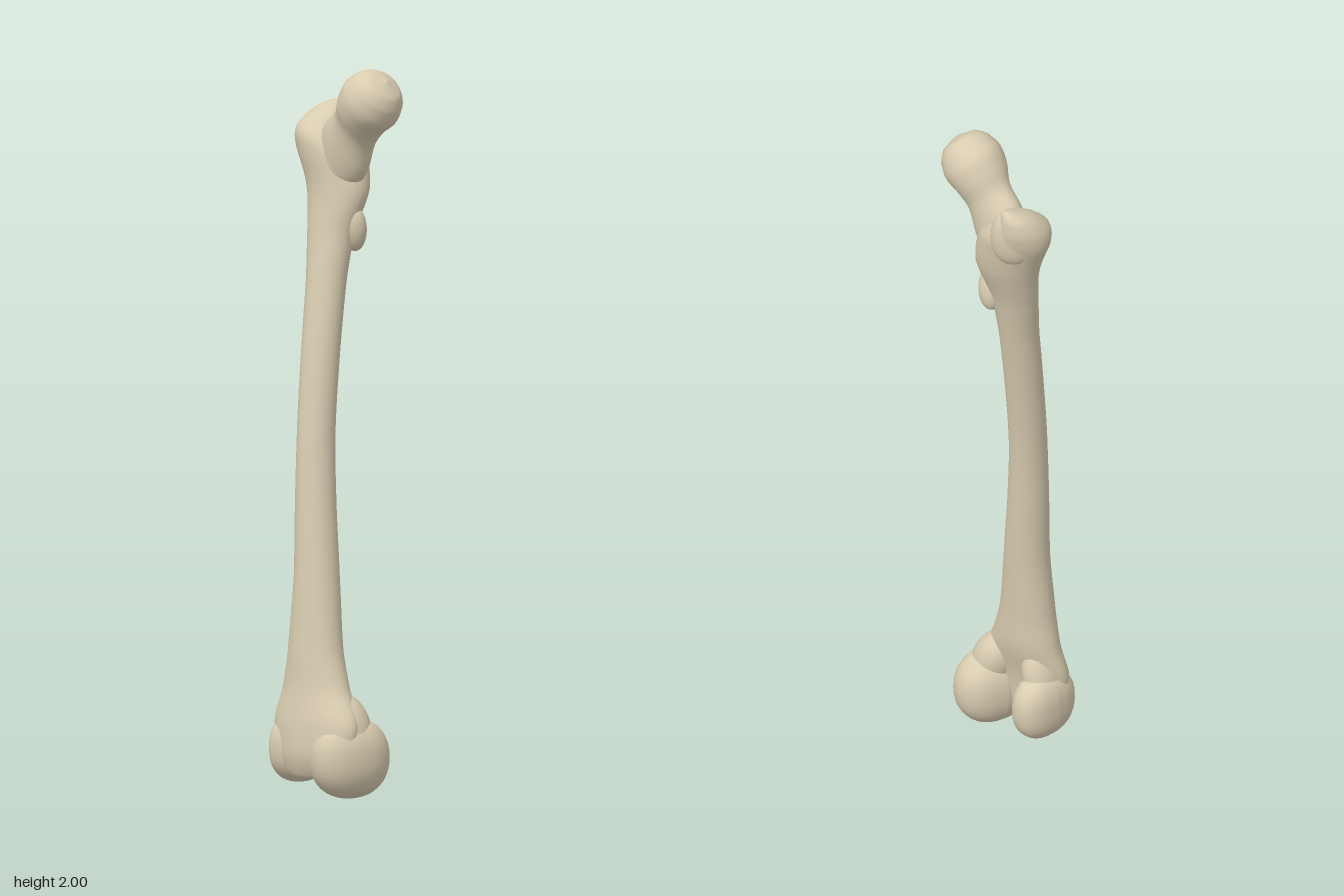
import * as THREE from 'three';

const bone = new THREE.MeshStandardMaterial({ color: 0xd8ccb0, roughness: 0.8 });

// Closed smooth tube through elliptical sections [x, y, z, radiusAcross, radiusZ].
// Rings lean by `lean` from the vertical toward +x; sections run upward.
function loft(name, sections, lean = 0, steps = 6, sides = 28) {
  const centres = new THREE.CatmullRomCurve3(sections.map(s => new THREE.Vector3(s[0], s[1], s[2])));
  const radii = new THREE.CatmullRomCurve3(sections.map(s => new THREE.Vector3(s[3], s[4], 0)));
  const rings = (sections.length - 1) * steps;
  const pos = [], index = [];
  for (let j = 0; j <= rings; j++) {
    const c = centres.getPoint(j / rings), r = radii.getPoint(j / rings);
    const rx = Math.max(r.x, 0.0005), rz = Math.max(r.y, 0.0005);
    for (let i = 0; i < sides; i++) {
      const a = (i / sides) * Math.PI * 2, u = Math.cos(a) * rx;
      pos.push(c.x + u * Math.cos(lean), c.y - u * Math.sin(lean), c.z + Math.sin(a) * rz);
      if (j < rings) {
        const k = (i + 1) % sides, p = j * sides, q = p + sides;
        index.push(p + i, q + i, p + k, q + i, q + k, p + k);
      }
    }
  }
  const g = new THREE.BufferGeometry();
  g.setAttribute('position', new THREE.Float32BufferAttribute(pos, 3));
  g.setIndex(index);
  g.computeVertexNormals();
  const mesh = new THREE.Mesh(g, bone);
  mesh.name = name;
  return mesh;
}

// Rounded lump, slightly boxier than an ellipsoid when power < 1
function lump(name, centre, radii, turn = [0, 0, 0], power = 0.9) {
  const g = new THREE.SphereGeometry(1, 28, 20);
  const p = g.attributes.position;
  const soften = v => Math.sign(v) * Math.abs(v) ** power;
  for (let i = 0; i < p.count; i++) {
    const v = new THREE.Vector3().fromBufferAttribute(p, i);
    const k = 1 / Math.max(0.001, v.length());
    p.setXYZ(i, soften(v.x * k) * radii[0], soften(v.y * k) * radii[1], soften(v.z * k) * radii[2]);
  }
  g.computeVertexNormals();
  const mesh = new THREE.Mesh(g, bone);
  mesh.name = name;
  mesh.position.set(...centre);
  mesh.rotation.set(...turn);
  return mesh;
}

export function createModel() {
  const model = new THREE.Group();
  model.name = 'thighBone';

  // Bowed shaft, flaring at the knee and rising into the outer crest at the hip
  model.add(loft('shaft', [
    [0.02, 0.05, 0.11, 0.001, 0.001],
    [0.02, 0.06, 0.11, 0.08, 0.045],
    [0.035, 0.12, 0.115, 0.135, 0.06],
    [0.035, 0.20, 0.108, 0.147, 0.063],
    [0.015, 0.30, 0.087, 0.11, 0.066],
    [0.005, 0.40, 0.08, 0.086, 0.064],
    [-0.005, 0.60, 0.065, 0.066, 0.06],
    [-0.023, 0.80, 0.05, 0.058, 0.056],
    [-0.038, 1.00, 0.032, 0.053, 0.053],
    [-0.05, 1.20, 0.003, 0.054, 0.053],
    [-0.062, 1.40, -0.033, 0.058, 0.053],
    [-0.07, 1.54, -0.062, 0.073, 0.056],
    [-0.07, 1.66, -0.09, 0.1, 0.07],
    [-0.103, 1.76, -0.098, 0.107, 0.08],
    [-0.14, 1.82, -0.108, 0.074, 0.077],
    [-0.143, 1.865, -0.135, 0.046, 0.048],
    [-0.135, 1.885, -0.155, 0.022, 0.02],
    [-0.133, 1.89, -0.16, 0.001, 0.001],
  ]));

  // Crest running back and inward around the hollow beside the neck
  model.add(lump('outerCrest', [-0.135, 1.8, -0.145], [0.06, 0.085, 0.038], [0, 0.45, 0]));

  // Neck and ball of the hip, leaning inward
  model.add(loft('neckAndHead', [
    [-0.09, 1.67, -0.08, 0.06, 0.045],
    [-0.03, 1.765, -0.075, 0.094, 0.056],
    [0.015, 1.832, -0.068, 0.075, 0.06],
    [0.045, 1.875, -0.062, 0.08, 0.078],
    [0.08, 1.91, -0.06, 0.09, 0.086],
    [0.112, 1.942, -0.06, 0.078, 0.075],
    [0.132, 1.962, -0.06, 0.052, 0.05],
    [0.142, 1.972, -0.06, 0.001, 0.001],
  ], Math.PI / 4));

  // Small inner knob below the neck
  model.add(lump('innerKnob', [-0.008, 1.55, -0.087], [0.038, 0.065, 0.032], [0.15, 0, -0.1], 1));

  // Paired knee knuckles with a notch between them at the back
  model.add(lump('innerKnuckle', [0.122, 0.115, 0.07], [0.083, 0.112, 0.115], [0, -0.3, 0]));
  model.add(lump('outerKnuckle', [-0.062, 0.13, 0.068], [0.062, 0.098, 0.1], [0, -0.05, 0], 0.85));

  // Flares that carry the shaft down into the knuckles
  model.add(lump('innerFlare', [0.115, 0.2, 0.075], [0.065, 0.1, 0.07], [0, 0, 0.45], 1));
  model.add(lump('outerFlare', [-0.05, 0.21, 0.08], [0.05, 0.1, 0.065], [0, 0, -0.25], 1));

  return model;
}
